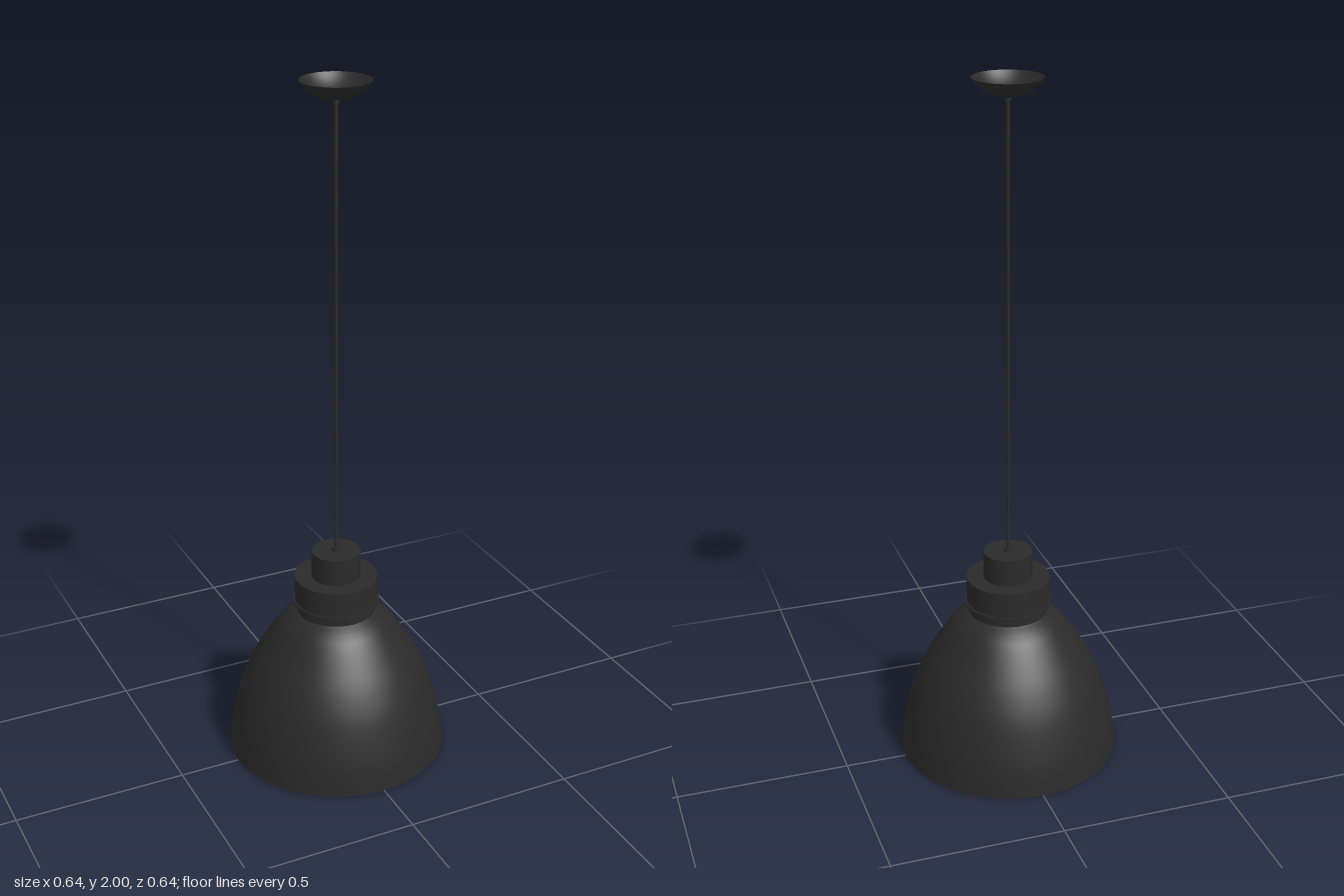
import * as THREE from 'three';

const black = new THREE.MeshStandardMaterial({ color: 0x2a2a2a, side: THREE.DoubleSide });
black.name = 'matte black';
const white = new THREE.MeshStandardMaterial({ color: 0xf2f2f2 });
white.name = 'white enamel';

const SEGMENTS = 96;

export function createModel() {
  const lamp = new THREE.Group();
  lamp.name = 'pendantLamp';

  const add = (name, geometry, material = black, y = 0) => {
    const mesh = new THREE.Mesh(geometry, material);
    mesh.name = name;
    mesh.position.y = y;
    lamp.add(mesh);
  };
  // Upright cylinder between two heights
  const drum = (name, radius, y0, y1, sides = SEGMENTS) =>
    add(name, new THREE.CylinderGeometry(radius, radius, y1 - y0, sides), black, (y0 + y1) / 2);
  const lathe = (points) => new THREE.LatheGeometry(points, SEGMENTS);

  // Bell-shaped shade: outer skin, white lining and rim
  const bell = new THREE.SplineCurve([
    [0.322, 0], [0.309, 0.09], [0.279, 0.2], [0.244, 0.28],
    [0.205, 0.345], [0.166, 0.4], [0.14, 0.425], [0.113, 0.443],
  ].map(([x, y]) => new THREE.Vector2(x, y))).getPoints(40);
  const wall = 0.005;
  const lining = bell.map((p) => new THREE.Vector2(p.x - wall, Math.max(0, p.y - wall)));
  lining.push(new THREE.Vector2(0, lining[lining.length - 1].y));
  add('shadeOuter', lathe(bell));
  add('shadeLining', lathe(lining.reverse()), white);
  add('shadeRim', lathe([new THREE.Vector2(0.317, 0), new THREE.Vector2(0.322, 0)]));

  // Stepped lamp holder
  drum('neck', 0.114, 0.438, 0.475);
  drum('collarLip', 0.126, 0.47, 0.477);
  drum('collar', 0.121, 0.477, 0.552);
  drum('holderCap', 0.071, 0.552, 0.632);
  drum('cableGrip', 0.011, 0.632, 0.642, 24);

  // Cable
  drum('cable', 0.005, 0.64, 1.955, 16);

  // Open ceiling bowl and its cable grip
  const bowl = [];
  const radius = 0.115;
  const maxAngle = Math.asin(0.097 / radius);
  for (let i = 0; i <= 20; i++) {
    const a = (maxAngle * i) / 20;
    const lift = (1 - Math.cos(a)) / (1 - Math.cos(maxAngle));
    bowl.push(new THREE.Vector2(radius * Math.sin(a), 1.948 + 0.052 * lift));
  }
  add('ceilingBowl', lathe(bowl));
  drum('bowlGrip', 0.009, 1.938, 1.952, 24);

  return lamp;
}
